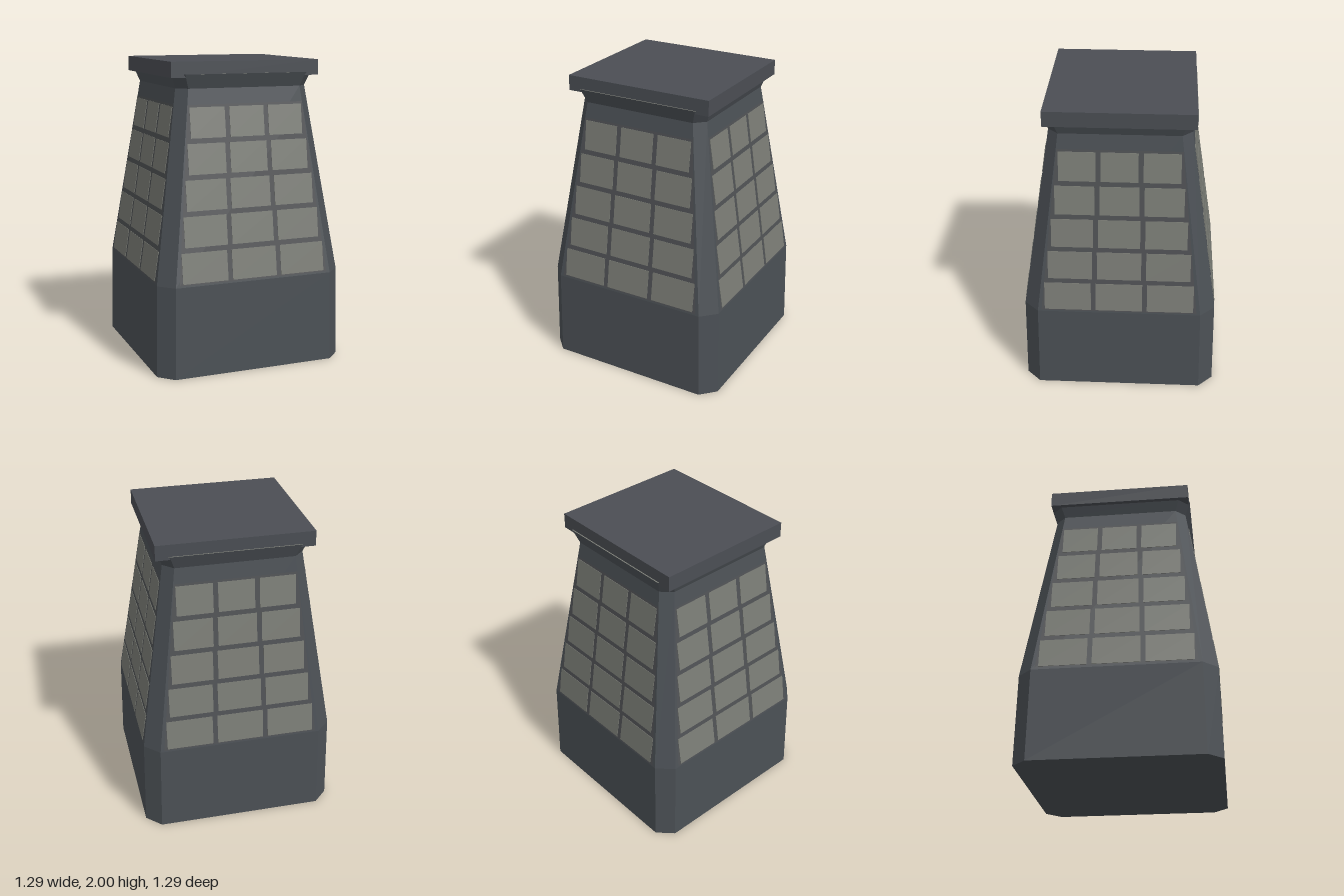
import * as THREE from 'three';

const mat = (name, color) => {
  const m = new THREE.MeshStandardMaterial({ color });
  m.name = name;
  return m;
};

// Chamfered-square ring: half width h, half length of each flat side f
function ring([y, h, f]) {
  const pts = [];
  for (let s = 0; s < 4; s++) {
    for (const x of [-f, f]) {
      pts.push(new THREE.Vector3(x, y, h).applyAxisAngle(new THREE.Vector3(0, 1, 0), s * Math.PI / 2));
    }
  }
  return pts;
}

function fromTriangles(points) {
  const g = new THREE.BufferGeometry().setFromPoints(points);
  g.computeVertexNormals();
  return g;
}

function loft(sections) {
  const rings = sections.map(ring);
  const tris = [];
  for (let k = 0; k < rings.length - 1; k++) {
    const lo = rings[k], hi = rings[k + 1];
    for (let i = 0; i < 8; i++) {
      const j = (i + 1) % 8;
      tris.push(lo[i], lo[j], hi[j], lo[i], hi[j], hi[i]);
    }
  }
  return fromTriangles(tris);
}

function lid(section, up) {
  const r = ring(section);
  const tris = [];
  for (let i = 1; i < 7; i++) tris.push(r[0], up ? r[i] : r[i + 1], up ? r[i + 1] : r[i]);
  return fromTriangles(tris);
}

export function createModel() {
  const model = new THREE.Group();
  const slate = mat('slate', 0x4b5055);
  const capGrey = mat('cap grey', 0x4b4e54);
  const frameGrey = mat('frame grey', 0x4f5154);
  const paneGrey = mat('pane grey', 0x7a7c75);

  const add = (parent, name, geometry, material) => {
    const mesh = new THREE.Mesh(geometry, material);
    mesh.name = name;
    parent.add(mesh);
    return mesh;
  };

  // Tower body: plinth, tapering shaft, flared neck
  const base = [0, 0.645, 0.55], shoulder = [0.6, 0.635, 0.54];
  const neck = [1.83, 0.45, 0.385], flare = [1.92, 0.483, 0.415];
  add(model, 'body', loft([base, shoulder, neck, flare]), slate);
  add(model, 'bodyBottom', lid(base, false), slate);
  add(model, 'flareTop', lid(flare, true), paneGrey);

  // Flat cap slab
  add(model, 'cap', new THREE.BoxGeometry(1.01, 0.1, 0.95), capGrey).position.y = 1.95;

  // Shaft faces: frame plate with five rows of three panes
  const slope = (shoulder[1] - neck[1]) / (neck[0] - shoulder[0]);
  const tilt = Math.atan(slope);
  const faceZ = (y) => shoulder[1] - (y - shoulder[0]) * slope;
  for (let s = 0; s < 4; s++) {
    const face = new THREE.Group();
    face.name = ['front', 'left', 'back', 'right'][s] + 'Windows';
    face.rotation.y = s * Math.PI / 2;
    model.add(face);

    const corner = (x, y) => new THREE.Vector3(x, y, faceZ(y) + 0.002);
    const a = corner(-0.515, 0.61), b = corner(0.515, 0.61);
    const c = corner(0.395, 1.73), d = corner(-0.395, 1.73);
    add(face, 'windowFrame', fromTriangles([a, b, c, a, c, d]), frameGrey);

    for (let row = 0; row < 5; row++) {
      const half = 0.492 - row * 0.0265;
      const gap = 0.032;
      const width = (2 * half - 2 * gap) / 3;
      const y = 0.716 + row * 0.2255;
      const geometry = new THREE.BoxGeometry(width, 0.193 / Math.cos(tilt), 0.006);
      for (let col = -1; col <= 1; col++) {
        const pane = add(face, 'pane', geometry, paneGrey);
        pane.position.set(col * (width + gap), y, faceZ(y) + 0.002);
        pane.rotation.x = -tilt;
      }
    }
  }
  return model;
}
